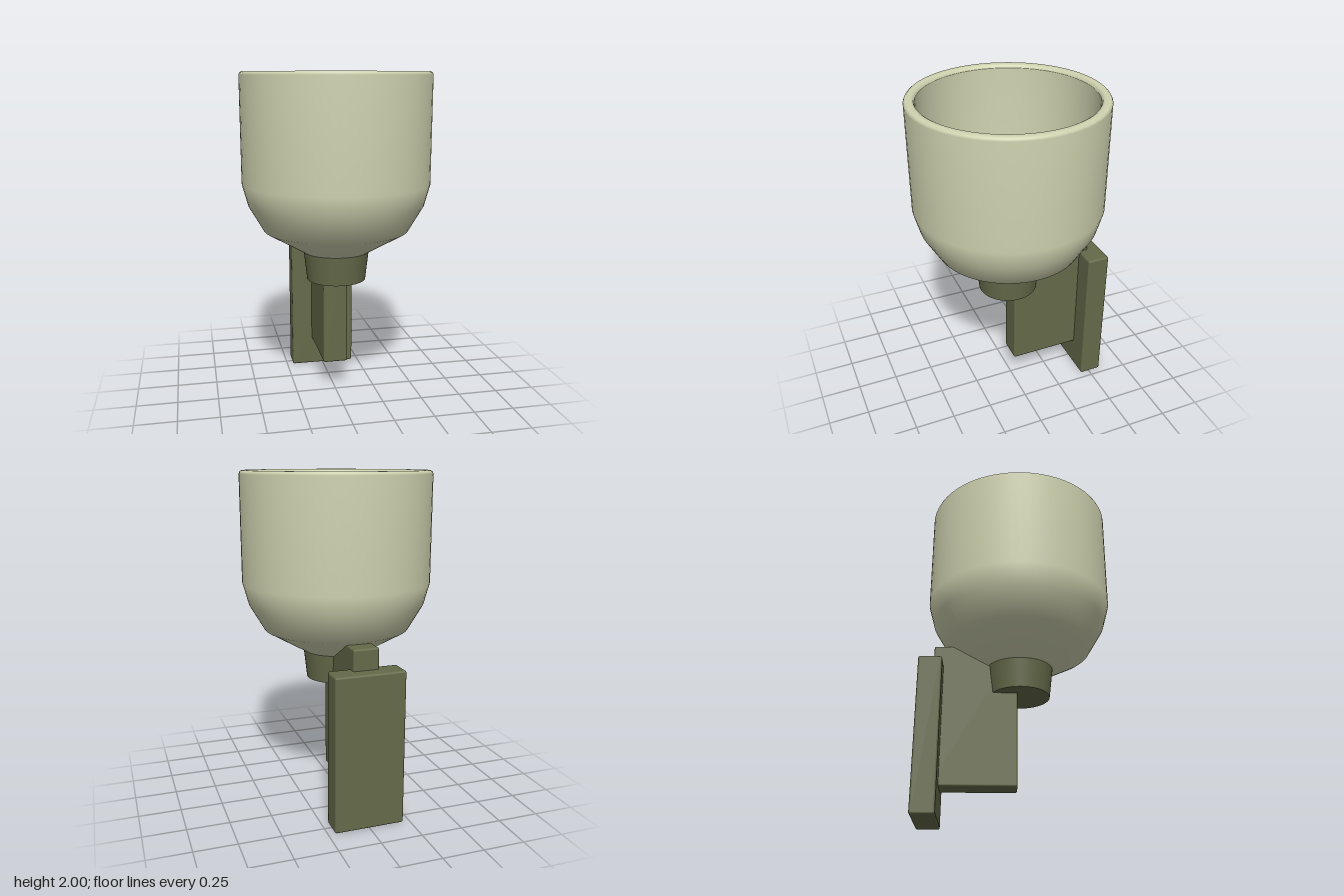
import * as THREE from 'three';
import { RoundedBoxGeometry } from 'three/addons/geometries/RoundedBoxGeometry.js';

export function createModel() {
  const group = new THREE.Group();
  const cream = new THREE.MeshStandardMaterial({ name: 'cream', color: 0xd0d3b0 });
  const olive = new THREE.MeshStandardMaterial({ name: 'olive', color: 0x656a49 });
  const axisZ = 0.015; // the shade's axis

  const add = (name, geometry, material, y, z) => {
    const mesh = new THREE.Mesh(geometry, material);
    mesh.name = name;
    mesh.position.set(0, y, z);
    group.add(mesh);
  };
  const lathe = (points) =>
    new THREE.LatheGeometry(points.map(([r, y]) => new THREE.Vector2(r, y)), 64);
  // rounded box given by its half width and its y and z limits
  const block = (name, halfX, y0, y1, z0, z1) =>
    add(name, new RoundedBoxGeometry(halfX * 2, y1 - y0, z1 - z0, 2, 0.012),
      olive, (y0 + y1) / 2, (z0 + z1) / 2);

  // wall plate and the arm that carries the shade
  block('wallPlate', 0.21, 0, 0.925, -0.58, -0.44);
  block('arm', 0.077, 0.185, 1.05, -0.5, 0.005);

  // tapered socket under the shade
  add('socket', new THREE.CylinderGeometry(0.2, 0.18, 0.18, 48), olive, 0.84, axisZ + 0.005);

  // open shade: outer wall, rim, inner wall
  add('shade', lathe([
    [0.2, 0.925], [0.44, 1.065], [0.53, 1.22], [0.565, 1.35],
    [0.565, 1.98], [0.56, 1.992], [0.55, 2], [0.522, 2], [0.51, 1.993], [0.505, 1.98],
  ]), cream, 0, axisZ);
  add('shadeInside', lathe([
    [0.505, 1.98], [0.515, 1.35], [0.485, 1.24], [0.39, 1.1], [0.2, 1.07], [0, 1.07],
  ]), cream, 0, axisZ);

  // shallow diffuser dome at the bottom of the shade
  const dome = [[0.395, 1.08], [0.395, 1.13]];
  const R = 0.56, edge = Math.asin(0.385 / R);
  for (let i = 0; i <= 10; i++) {
    const a = edge * (1 - i / 10);
    dome.push([R * Math.sin(a), 1.15 + R * (Math.cos(a) - Math.cos(edge))]);
  }
  add('diffuser', lathe(dome), cream, 0, axisZ);

  return group;
}
